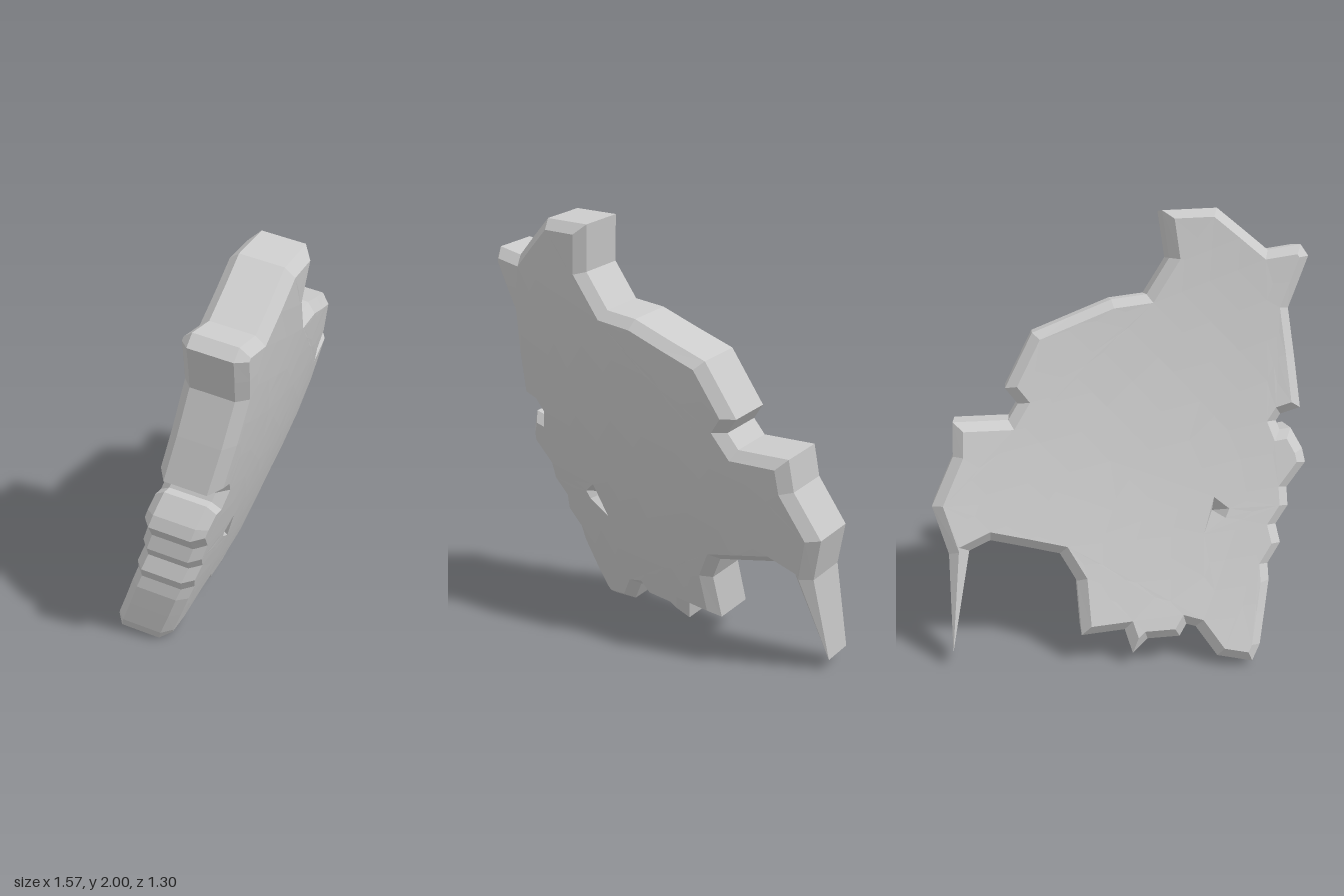
import * as THREE from 'three';

// Outer rim of the shard, seen from the front, clockwise from the top.
const RIM = [
  [-0.23, 1.97], [-0.01, 1.96], [-0.05, 1.75], [0.03, 1.59], [0.17, 1.57], [0.47, 1.43],
  [0.555, 1.19], [0.5, 1.12], [0.53, 1.05], [0.74, 1.05], [0.725, 0.9], [0.78, 0.69],
  [0.69, 0.48], [0.61, 0.05], [0.615, 0.49], [0.54, 0.53], [0.26, 0.46], [0.175, 0.34],
  [0.12, 0.11], [-0.05, 0.13], [-0.1, 0.03], [-0.15, 0.09], [-0.28, 0.1], [-0.3, 0.15],
  [-0.34, 0.14], [-0.45, 0.02], [-0.6, 0], [-0.62, 0.07], [-0.615, 0.34], [-0.6, 0.41],
  [-0.64, 0.5], [-0.61, 0.58], [-0.65, 0.66], [-0.635, 0.74], [-0.7, 0.85], [-0.68, 0.91],
  [-0.62, 1], [-0.575, 0.99], [-0.555, 1.03], [-0.57, 1.06], [-0.65, 1.09], [-0.555, 1.53],
  [-0.62, 1.76], [-0.585, 1.81], [-0.45, 1.785],
].reverse().map(([x, y]) => new THREE.Vector2(x, y));

const HOLE = [[-0.4, 0.65], [-0.33, 0.7], [-0.31, 0.54], [-0.39, 0.61]]
  .map(([x, y]) => new THREE.Vector2(x, y));
const HOLE_CENTRE = new THREE.Vector2(-0.34, 0.63);

const THICKNESS = new THREE.Vector3(-0.09, 0.03, -0.163);
const BEVEL = 0.04, MAX_EDGE = 0.22;

// Leaning, gently domed surface; depth 0 is the front rim, 1 the back rim.
function place(p, depth) {
  const { x, y } = p;
  const z = -0.195 - 0.513 * x + 0.471 * y - 0.1 * x * x - 0.09 * y * y;
  const thin = x > 0.6 ? 1 - 0.25 * THREE.MathUtils.clamp((0.5 - y) / 0.45, 0, 1) : 1;
  return new THREE.Vector3(x, y, z).addScaledVector(THICKNESS, depth * thin);
}

// Mitred inset of a counter-clockwise outline.
function inset(points, d) {
  return points.map((p, i) => {
    const a = points[(i + points.length - 1) % points.length];
    const b = points[(i + 1) % points.length];
    const u = p.clone().sub(a).normalize(), v = b.clone().sub(p).normalize();
    const m = new THREE.Vector2(-u.y - v.y, u.x + v.x).normalize();
    const c = Math.max(-u.y * m.x + u.x * m.y, 0.09);
    return p.clone().addScaledVector(m, d / c);
  });
}

const mid = (a, b) => a.clone().add(b).multiplyScalar(0.5);

// Split long triangles so that the cap follows the dome.
function splitTriangle(a, b, c, out) {
  const l = [a.distanceTo(b), b.distanceTo(c), c.distanceTo(a)];
  const longest = Math.max(...l);
  if (longest <= MAX_EDGE) return out.push([a, b, c]);
  if (l[1] === longest) [a, b, c] = [b, c, a];
  else if (l[2] === longest) [a, b, c] = [c, a, b];
  const m = mid(a, b);
  splitTriangle(a, m, c, out);
  splitTriangle(m, b, c, out);
}

// Split long rim edges to match the cap.
function splitEdge(o0, o1, i0, i1, out) {
  if (i0.distanceTo(i1) <= MAX_EDGE) return out.push([o0, o1, i0, i1]);
  const o = mid(o0, o1), i = mid(i0, i1);
  splitEdge(o0, o, i0, i, out);
  splitEdge(o, o1, i, i1, out);
}

function makeMesh(name, triangles) {
  const geometry = new THREE.BufferGeometry().setFromPoints(triangles.flat());
  geometry.computeVertexNormals();
  const mesh = new THREE.Mesh(geometry, new THREE.MeshStandardMaterial({
    color: 0xcccccc, flatShading: true, side: THREE.DoubleSide,
  }));
  mesh.name = name;
  return mesh;
}

export function createModel() {
  const group = new THREE.Group();
  group.name = 'brokenShard';
  const inner = inset(RIM, BEVEL);
  const frontDepth = -0.22, backDepth = 1.22;

  // Front and back caps
  const flat = [], all = [...inner, ...HOLE];
  for (const [a, b, c] of THREE.ShapeUtils.triangulateShape(inner.slice(), [HOLE.slice()])) {
    splitTriangle(all[a], all[b], all[c], flat);
  }
  group.add(makeMesh('frontFace', flat.map(t => t.map(p => place(p, frontDepth)))));
  group.add(makeMesh('backFace', flat.map(([a, b, c]) => [a, c, b].map(p => place(p, backDepth)))));

  // Bevels and broken edge
  const edges = [];
  RIM.forEach((p, i) => {
    const j = (i + 1) % RIM.length;
    splitEdge(p, RIM[j], inner[i], inner[j], edges);
  });
  const band = (a, b, c, d) => [[a, c, b], [b, c, d]];
  const bands = { frontBevel: [], brokenEdge: [], backBevel: [] };
  for (const [o0, o1, i0, i1] of edges) {
    const f0 = place(o0, 0), f1 = place(o1, 0), b0 = place(o0, 1), b1 = place(o1, 1);
    bands.frontBevel.push(...band(place(i0, frontDepth), place(i1, frontDepth), f0, f1));
    bands.brokenEdge.push(...band(f0, f1, b0, b1));
    bands.backBevel.push(...band(b0, b1, place(i0, backDepth), place(i1, backDepth)));
  }
  for (const name in bands) group.add(makeMesh(name, bands[name]));

  // Small chipped pits, one in each face
  const pit = (rimDepth, tipDepth) => HOLE.map((p, i) => [
    place(p, rimDepth), place(HOLE_CENTRE, tipDepth), place(HOLE[(i + 1) % HOLE.length], rimDepth),
  ]);
  group.add(makeMesh('frontPit', pit(frontDepth, 0.15)));
  group.add(makeMesh('backPit', pit(backDepth, 0.85).map(t => t.reverse())));
  return group;
}
